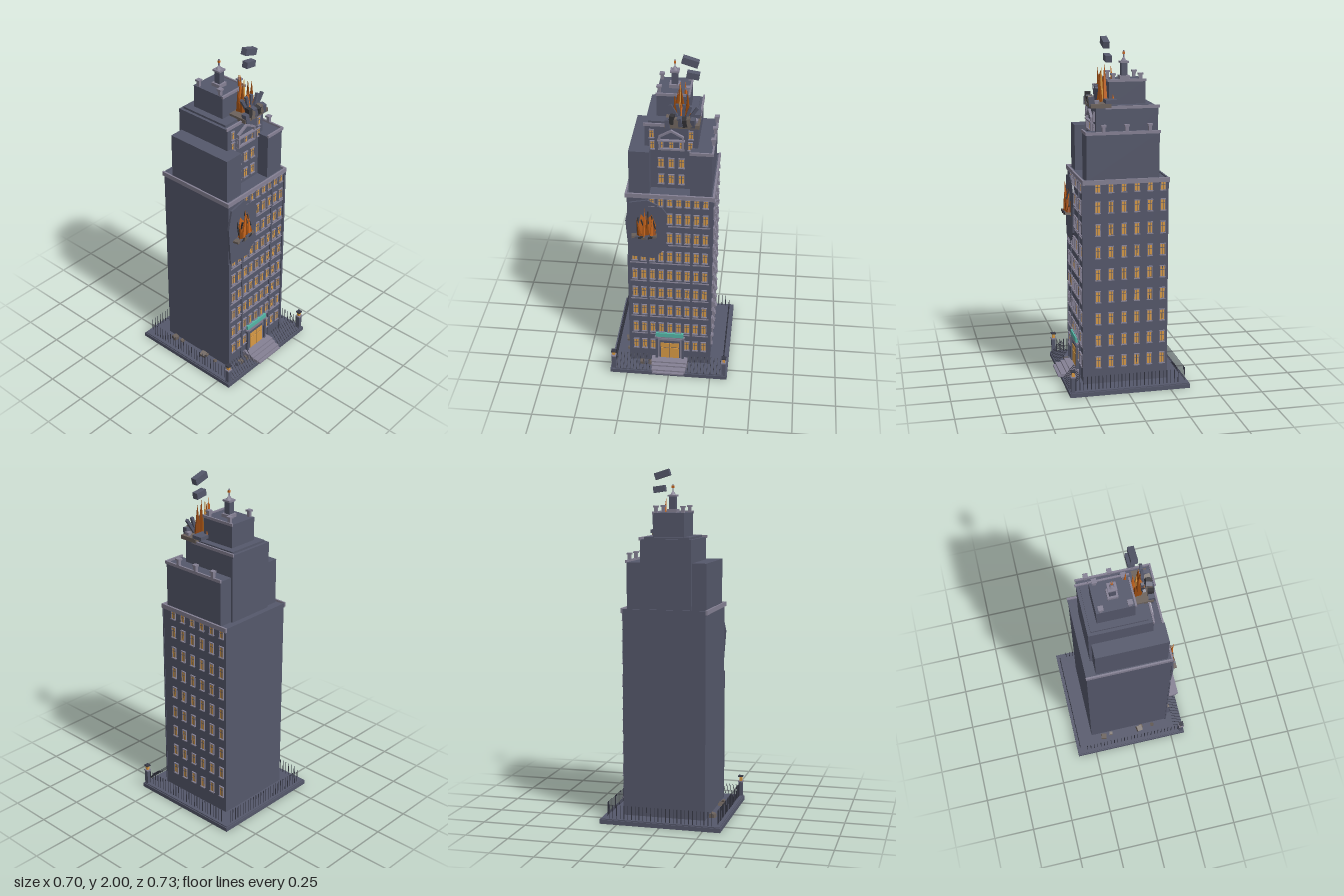
import * as THREE from 'three';

const mat = (name, color, extra = {}) => {
  const m = new THREE.MeshStandardMaterial({ color, ...extra });
  m.name = name;
  return m;
};

export function createModel() {
  const root = new THREE.Group();
  root.name = 'burningTower';
  const wall = mat('slate wall', 0x55586b);
  const trim = mat('pale stone', 0x858194);
  const glow = mat('lit glass', 0xd89a45);
  const fire = mat('flame', 0xc9661d);
  const ember = mat('deep flame', 0x94480f);
  const teal = mat('teal canopy', 0x55b5a6);
  const iron = mat('dark iron', 0x383a47);
  const rubble = mat('brown rubble', 0x6c625c);
  const soot = mat('soot', 0x353438);

  let seed = 7;
  const rnd = () => (seed = (seed * 16807) % 2147483647) / 2147483647;
  const add = (name, geo, m, x, y, z, parent = root) => {
    const mesh = new THREE.Mesh(geo, m);
    mesh.name = name;
    mesh.position.set(x, y, z);
    parent.add(mesh);
    return mesh;
  };
  const box = (name, m, w, h, d, x, y, z, parent) => add(name, new THREE.BoxGeometry(w, h, d), m, x, y, z, parent);
  // Box given by its limits
  const span = (name, m, x0, x1, y0, y1, z0, z1, parent) =>
    box(name, m, x1 - x0, y1 - y0, z1 - z0, (x0 + x1) / 2, (y0 + y1) / 2, (z0 + z1) / 2, parent);
  const group = (name, x = 0, y = 0, z = 0, ry = 0, parent = root) => {
    const g = new THREE.Group();
    g.name = name;
    g.position.set(x, y, z);
    g.rotation.y = ry;
    parent.add(g);
    return g;
  };

  // Stepped masses
  span('plinth', wall, -0.352, 0.352, 0, 0.024, -0.365, 0.337);
  span('plinthTop', wall, -0.346, 0.346, 0.024, 0.03, -0.359, 0.331);
  span('mainShaft', wall, -0.24, 0.24, 0.03, 1.215, -0.255, 0.235);
  span('roofCurbBack', wall, -0.245, 0.245, 1.195, 1.222, -0.258, -0.248);
  span('leftShoulder', wall, -0.23, -0.115, 1.215, 1.48, -0.2, 0.213);
  span('rightShoulder', wall, 0.11, 0.23, 1.215, 1.48, -0.203, 0.213);
  span('upperShaft', wall, -0.147, 0.147, 1.215, 1.61, -0.215, 0.142);
  span('upperRoof', wall, -0.13, 0.13, 1.61, 1.622, -0.197, 0.115);
  span('crownBlock', wall, -0.09, 0.09, 1.61, 1.755, -0.155, 0.055);

  // Cornices and parapets
  span('corniceLeft', trim, -0.25, -0.24, 1.2, 1.226, -0.26, 0.24);
  span('corniceFront', trim, -0.25, 0.25, 1.2, 1.226, 0.23, 0.241);
  span('corniceRight', trim, 0.238, 0.25, 1.2, 1.226, -0.26, 0.24);
  span('shoulderCorniceRight', trim, 0.228, 0.238, 1.475, 1.492, -0.208, 0.218);
  span('shoulderCorniceFront', trim, 0.107, 0.238, 1.475, 1.492, 0.208, 0.218);
  span('upperCorniceFront', trim, -0.154, 0.04, 1.605, 1.622, 0.137, 0.146);
  span('upperCorniceRight', trim, 0.144, 0.154, 1.605, 1.622, -0.222, 0.09);
  span('crownCorniceFront', trim, -0.094, 0.07, 1.748, 1.763, 0.052, 0.062);
  span('crownCorniceRight', trim, 0.085, 0.094, 1.748, 1.763, -0.16, 0.062);

  // Small stone urns on the parapets
  const urn = (x, y, z) => {
    const g = group('urn', x, y, z);
    box('urnStem', trim, 0.018, 0.032, 0.018, 0, 0.016, 0, g);
    box('urnCap', trim, 0.028, 0.01, 0.028, 0, 0.035, 0, g);
  };
  for (const z of [-0.147, -0.015, 0.116]) urn(0.23, 1.49, z);
  for (const x of [-0.078, 0.078]) for (const z of [-0.128, 0.028]) urn(x, 1.755, z);
  urn(0.131, 1.615, 0.135);

  // Lantern turret with finial
  box('turretBase', trim, 0.058, 0.02, 0.058, 0, 1.765, -0.05);
  box('turretShaft', wall, 0.036, 0.08, 0.036, 0, 1.81, -0.05);
  box('turretCap', trim, 0.05, 0.01, 0.05, 0, 1.85, -0.05);
  const spire = add('turretSpire', new THREE.ConeGeometry(0.02, 0.03, 4), trim, 0, 1.868, -0.05);
  spire.rotation.y = Math.PI / 4;
  box('finial', trim, 0.006, 0.04, 0.006, 0, 1.895, -0.05);
  box('finialTip', fire, 0.012, 0.012, 0.012, 0, 1.9, -0.05);

  // Window facing local +z: frame, two panes, sill
  const makeWindow = (parent, x, y, h = 0.066, w = 0.03) => {
    const g = group('window', x, y, 0, 0, parent);
    for (const s of [-1, 1]) {
      box('pane', glow, w * 0.36, h - 0.008, 0.003, s * w * 0.22, 0, 0.002, g);
      box('jamb', trim, 0.003, h, 0.008, s * w * 0.47, 0, 0.003, g);
    }
    box('mullion', wall, 0.003, h, 0.005, 0, 0, 0.002, g);
    box('transom', wall, w, 0.003, 0.005, 0, h * 0.15, 0.002, g);
    box('lintel', trim, w + 0.003, 0.005, 0.01, 0, h / 2, 0.004, g);
    box('sill', trim, w + 0.005, 0.005, 0.012, 0, -h / 2, 0.005, g);
  };
  const front = group('frontFacade', 0, 0, 0.235);
  const side = group('rightFacade', 0.24, 0, 0, Math.PI / 2);
  for (let r = 0; r < 9; r++) {
    const y = r === 8 ? 1.178 : 0.16 + r * 0.13;
    const h = r === 8 ? 0.05 : 0.066;
    for (let c = -4; c <= 4; c++) {
      const atDoor = r === 0 && Math.abs(c) < 2;
      const atHole = r > 5 && c < -0.5 && !(r === 8 && c > -3);
      if (!atDoor && !atHole) makeWindow(front, c * 0.0505, y, h);
    }
    for (let c = 0; c < 6; c++) makeWindow(side, 0.222 - c * 0.075, y, h);
    if (r > 0 && r < 8) box('stringCourse', trim, r > 5 ? 0.25 : 0.48, 0.005, 0.006, r > 5 ? 0.115 : 0, y - 0.052, 0.002, front);
  }
  // Flat pilasters
  for (const x of [-0.236, -0.125, 0.125, 0.236])
    span('pilaster', wall, x - 0.007, x + 0.007, 0.03, x < 0 ? 0.81 : 1.2, 0, 0.007, front);

  // Recessed upper facade with a gabled centre bay
  const upper = group('upperFacade', 0, 0, 0.142);
  for (const x of [-0.057, 0, 0.057]) for (const y of [1.275, 1.38]) makeWindow(upper, x, y, 0.058, 0.032);
  for (const x of [-0.105, -0.057, 0, 0.057, 0.105]) makeWindow(upper, x, 1.49, 0.05, 0.025);
  for (const x of [-0.108, 0.108]) makeWindow(upper, x, 1.56, 0.05, 0.025);
  const gable = new THREE.Shape([[-0.07, 1.465], [0.07, 1.465], [0.07, 1.55], [0, 1.59], [-0.07, 1.55]].map(p => new THREE.Vector2(...p)));
  gable.holes.push(new THREE.Path([[-0.06, 1.475], [-0.06, 1.545], [0, 1.578], [0.06, 1.545], [0.06, 1.475]].map(p => new THREE.Vector2(...p))));
  add('gableFrame', new THREE.ExtrudeGeometry(gable, { depth: 0.015, bevelEnabled: false }), trim, 0, 0, 0, upper);
  box('balconyRail', trim, 0.15, 0.006, 0.02, 0, 1.525, 0.01, upper);

  // Entrance: doors, surround, canopy and steps
  box('doorSurround', trim, 0.15, 0.17, 0.012, 0, 0.125, 0.238);
  box('doorRecess', wall, 0.125, 0.15, 0.004, 0, 0.12, 0.244);
  for (const s of [-1, 1]) {
    box('doorLeaf', glow, 0.053, 0.075, 0.004, s * 0.028, 0.105, 0.247);
    box('doorLight', glow, 0.053, 0.03, 0.004, s * 0.028, 0.163, 0.247);
    box('doorColumn', wall, 0.014, 0.17, 0.02, s * 0.078, 0.125, 0.244);
  }
  box('canopy', teal, 0.165, 0.028, 0.016, -0.001, 0.242, 0.246);
  box('canopyLedge', trim, 0.18, 0.006, 0.016, 0, 0.224, 0.245);
  [[0.108, 0.29], [0.104, 0.313], [0.1, 0.345], [0.094, 0.362]].forEach(([w, z], i) =>
    span('step', trim, -w, w, 0.03, 0.066 - i * 0.009, 0.235, z));

  // Railings: upright at sides and back, leaning at the front
  const bar = new THREE.CylinderGeometry(0.0022, 0.0022, 0.08, 5);
  for (let i = 0; i < 28; i++) {
    const z = -0.3 + i * 0.0222;
    for (const s of [-1, 1]) add('sideRail', bar, iron, s * 0.325, 0.07, z);
    add('backRail', bar, iron, -0.3 + i * 0.0222, 0.07, -0.345);
  }
  const leanBar = new THREE.CylinderGeometry(0.0018, 0.0018, 0.1, 5);
  for (let i = 0; i < 11; i++) for (const s of [-1, 1])
    add('frontRail', leanBar, iron, s * (0.115 + i * 0.0195), 0.07, 0.303).rotation.x = -0.7;

  // Gate piers with lanterns
  for (const s of [-1, 1]) {
    const g = group('gatePier', s * 0.331, 0.03, 0.317);
    box('pierShaft', wall, 0.024, 0.085, 0.024, 0, 0.042, 0, g);
    box('pierCap', trim, 0.03, 0.007, 0.03, 0, 0.088, 0, g);
    box('lantern', glow, 0.016, 0.025, 0.016, 0, 0.104, 0, g);
    box('lanternCap', iron, 0.028, 0.007, 0.028, 0, 0.12, 0, g);
  }

  // Low-poly flame tongue standing on its base
  const flame = (x, y, z, r, h, m, tilt = 0) => {
    const geo = new THREE.ConeGeometry(r, h, 5).translate(0, h / 2, 0).toNonIndexed();
    geo.computeVertexNormals();
    add('flame', geo, m, x, y, z).rotation.set(tilt * 0.3, rnd() * 3, tilt);
  };
  const chunk = (m, x, y, z, w, h, d, t = 0.5) =>
    box('debris', m, w, h, d, x, y, z).rotation.set((rnd() - 0.5) * t, (rnd() - 0.5) * t, (rnd() - 0.5) * t);

  // Torn wall patch on the front
  const patch = [[-0.25, 1.05], [-0.232, 0.81], [-0.09, 0.8], [-0.035, 0.86], [-0.022, 0.95], [-0.012, 1.1], [-0.045, 1.15], [-0.125, 1.19], [-0.225, 1.17]];
  const patchShape = new THREE.Shape(patch.map(p => new THREE.Vector2(...p)));
  add('tornWall', new THREE.ExtrudeGeometry(patchShape, { depth: 0.012, bevelEnabled: false }), wall, 0, 0, 0.234);
  const scorch = [[-0.18, 0.96], [-0.08, 0.95], [-0.075, 1.03], [-0.1, 1.1], [-0.13, 1.06], [-0.16, 1.1], [-0.175, 1.03]];
  add('fireGlow', new THREE.ShapeGeometry(new THREE.Shape(scorch.map(p => new THREE.Vector2(...p)))), fire, 0, 0, 0.249);
  [[-0.168, 0.12], [-0.145, 0.2], [-0.125, 0.15], [-0.1, 0.13], [-0.085, 0.09]].forEach(([x, h], i) =>
    flame(x, 0.96, 0.262, 0.014, h, i % 2 ? fire : ember, (i - 2) * -0.06));
  for (let i = 0; i < 7; i++)
    chunk([rubble, wall, soot][i % 3], -0.2 + i * 0.019, 0.955 + rnd() * 0.012, 0.262, 0.028, 0.014, 0.035);
  for (let i = 0; i < 4; i++) chunk(soot, -0.18 + i * 0.03, 1.0 + rnd() * 0.1, 0.252, 0.006, 0.09, 0.008, 0.7);

  // Broken roof corner with fire
  span('brokenFloor', rubble, -0.035, 0.155, 1.612, 1.635, 0.056, 0.17);
  span('brokenRoofSlab', wall, 0.07, 0.152, 1.635, 1.655, 0.02, 0.085);
  for (let i = 0; i < 7; i++)
    chunk([wall, soot, rubble][i % 3], -0.018 + i * 0.023, 1.635 + rnd() * 0.03, 0.16, 0.025, 0.05, 0.034, 0.6);
  for (let i = 0; i < 5; i++) {
    const s = box('splinter', wall, 0.016, 0.1, 0.016, 0.015 + i * 0.025, 1.685, 0.11 + rnd() * 0.03);
    s.rotation.z = 0.5 - i * 0.27;
  }
  [[0.02, 0.1, 0.17], [0.04, 0.07, 0.21], [0.065, 0.105, 0.19], [0.05, 0.12, 0.14], [0.085, 0.11, 0.17], [0.078, 0.03, 0.2], [0.02, 0.08, 0.13]].forEach(([x, z, h], i) =>
    flame(x, 1.64, z, 0.019, h, i % 2 ? fire : ember, (i % 3 - 1) * 0.08));
  flame(0.045, 1.64, 0.09, 0.014, 0.2, glow);

  // Blocks flung into the air
  box('flyingBlock', wall, 0.09, 0.038, 0.036, 0.096, 1.97, 0.08).rotation.z = -0.3;
  box('flyingBlock', wall, 0.07, 0.036, 0.036, 0.11, 1.886, 0.068).rotation.z = -0.15;

  // Fallen rubble on the ground
  [[-0.268, -0.18, 0.032], [-0.258, -0.13, 0.02], [-0.268, 0.056, 0.034], [-0.255, 0.07, 0.02], [-0.26, 0.143, 0.018]].forEach(([x, z, s]) =>
    chunk(rubble, x, 0.03 + s * 0.35, z, s, s * 0.7, s));
  for (let i = 0; i < 4; i++) chunk(i % 2 ? rubble : wall, -0.19 + i * 0.025, 0.04, 0.268, 0.026, 0.02, 0.026);

  return root;
}
